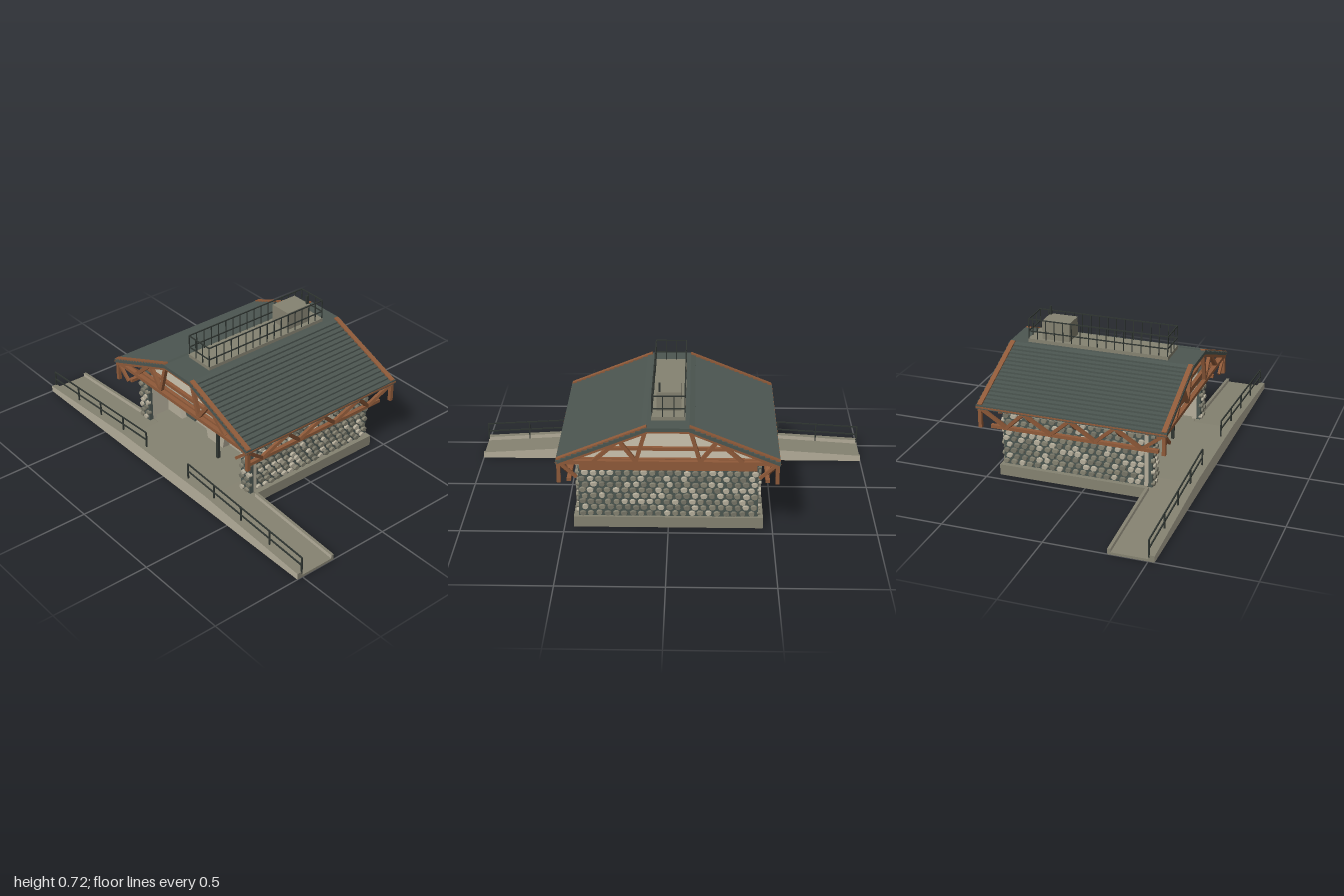
import * as THREE from 'three';
import { mergeGeometries } from 'three/addons/utils/BufferGeometryUtils.js';

const mat = (name, color, extra = {}) => {
  const m = new THREE.MeshStandardMaterial({ color, ...extra });
  m.name = name;
  return m;
};

export function createModel() {
  const root = new THREE.Group();
  const plaster = mat('pale plaster', 0xb5ae9b);
  const concrete = mat('grey concrete', 0x858271);
  const slate = mat('dark slate', 0x4c5651);
  const wood = mat('brown timber', 0x8f5a39);
  const iron = mat('dark iron', 0x2f3531);
  const stoneTints = [plaster, concrete, mat('grey stone', 0x757466)];

  const add = (name, geo, m, parent = root) => {
    const mesh = new THREE.Mesh(geo, m);
    mesh.name = name;
    parent.add(mesh);
    return mesh;
  };
  // Box given by its min and max limits
  const boxGeo = (x0, x1, y0, y1, z0, z1) =>
    new THREE.BoxGeometry(x1 - x0, y1 - y0, z1 - z0)
      .translate((x0 + x1) / 2, (y0 + y1) / 2, (z0 + z1) / 2);
  const box = (name, m, ...b) => add(name, boxGeo(...b), m);
  // Square bar between two points
  const bar = (a, b, w, d = w) => {
    const A = new THREE.Vector3(...a), B = new THREE.Vector3(...b);
    const o = new THREE.Object3D();
    o.position.copy(A).add(B).multiplyScalar(0.5);
    o.up.set(0, 1, 0.001);
    o.lookAt(B);
    o.updateMatrix();
    return new THREE.BoxGeometry(w, d, A.distanceTo(B)).applyMatrix4(o.matrix);
  };
  // Outline in x and y pushed along z
  const slab = (pts, z0, z1) =>
    new THREE.ExtrudeGeometry(new THREE.Shape(pts.map(p => new THREE.Vector2(...p))),
      { depth: z1 - z0, bevelEnabled: false }).translate(0, 0, z0);

  // Ramp with a raised kerb along both edges
  const ramp = lift => [[-1, 0], [1, 0], [1, 0.012 + lift], [0.33, 0.055 + lift],
    [-0.33, 0.055 + lift], [-1, 0.012 + lift]];
  add('rampDeck', slab(ramp(0), 0.31, 0.5), [plaster, concrete]);
  add('frontKerb', slab(ramp(0.02), 0.5, 0.53), [plaster, concrete]);
  for (const s of [-1, 1]) {
    const p = [[0.46, 0], [1, 0], [1, 0.03], [0.46, 0.066]].map(([x, y]) => [x * s, y]);
    add('backKerb', slab(p, 0.31, 0.325), [plaster, concrete]);
  }

  // Ramp railings
  const rails = [];
  const topY = x => 0.11 + (1 - x) * 0.06;
  for (const s of [-1, 1]) {
    for (const drop of [0, 0.043])
      rails.push(bar([s, topY(1) - drop, 0.503], [s * 0.17, topY(0.17) - drop, 0.503], 0.006));
    for (const x of [0.997, 0.775, 0.57, 0.37, 0.17])
      rails.push(bar([s * x, 0.02, 0.503], [s * x, topY(x), 0.503], 0.007));
  }
  add('rampRailing', mergeGeometries(rails), iron);

  // Plinth, walls and recessed porch
  box('plinth', concrete, -0.455, 0.455, 0, 0.055, -0.445, 0.31);
  box('mainWalls', slate, -0.43, 0.43, 0.055, 0.33, -0.43, 0.15);
  box('porchBackWall', plaster, -0.4, 0.4, 0.055, 0.33, 0.15, 0.158);
  box('ceiling', plaster, -0.43, 0.43, 0.322, 0.334, -0.43, 0.315);
  for (const s of [-1, 1]) {
    const side = (name, m, a, b, ...r) => box(name, m, Math.min(a * s, b * s), Math.max(a * s, b * s), ...r);
    side('porchSideWall', slate, 0.4, 0.43, 0.055, 0.325, 0.15, 0.295);
    side('porchLining', plaster, 0.392, 0.4, 0.055, 0.322, 0.158, 0.3);
    side('cornerJamb', plaster, 0.37, 0.432, 0.055, 0.33, 0.293, 0.315);
    side('cornerPier', slate, 0.37, 0.438, 0.055, 0.34, 0.315, 0.336);
    side('door', slate, 0.21, 0.32, 0.058, 0.28, 0.158, 0.166);
    side('wallLamp', iron, 0.098, 0.112, 0.22, 0.28, 0.158, 0.172);
    // Sloping buttress beside each door
    add('buttress', slab([[0.392, 0.055], [0.392, 0.25], [0.345, 0.25], [0.275, 0.055]]
      .map(([x, y]) => [x * s, y]), 0.17, 0.2), plaster);
  }
  add('centrePanel', slab([[-0.06, 0.055], [0.06, 0.055], [0.115, 0.3], [-0.115, 0.3]], 0.158, 0.2), plaster);
  box('porchPost', iron, 0.1, 0.115, 0.055, 0.21, 0.26, 0.275);

  // Rounded stones set in rows on the walls
  let seed = 7;
  const rnd = () => (seed = (seed * 16807) % 2147483647) / 2147483647;
  const stones = [[], [], []];
  const stone = (w, h) => {
    const g = new THREE.CylinderGeometry(0.8, 1, 1, 9);
    g.rotateX(Math.PI / 2).rotateZ(rnd() * 6);
    return g.scale(w * (0.9 + rnd() * 0.2), h * (0.9 + rnd() * 0.2), 0.018);
  };
  const stoneWall = (length, angle, x, z) => {
    const n = Math.max(2, Math.round(length / 0.041)), step = length / n;
    for (let r = 0; r < 9; r++)
      for (let i = 0; i < n; i++) {
        const u = -length / 2 + step * (i + 0.5 + (r % 2 ? 0.18 : -0.18)) + (rnd() - 0.5) * 0.005;
        const g = stone(step * 0.44, 0.0135).translate(u, 0.072 + r * 0.0305 + (rnd() - 0.5) * 0.005, 0);
        g.rotateY(angle).translate(x, 0, z);
        stones[Math.floor(rnd() * 3)].push(g);
      }
  };
  for (const s of [-1, 1]) {
    stoneWall(0.72, s * Math.PI / 2, s * 0.434, -0.068);
    stoneWall(0.072, 0, s * 0.404, 0.338);
  }
  stoneWall(0.85, Math.PI, 0, -0.434);
  stones.forEach((list, i) => add('wallStones', mergeGeometries(list), stoneTints[i]));

  // Roof with stepped courses and a flat ridge
  const outer = [], N = 17;
  for (let i = 0; i < N; i++) {
    const x = 0.525 - 0.425 * i / N, y = 0.385 + 0.172 * i / N;
    outer.push([x, y], [x, y + 0.009]);
  }
  outer.push([0.1, 0.562]);
  const mirror = pts => pts.map(([x, y]) => [-x, y]).reverse();
  const inner = [[0.096, 0.545], [0.525, 0.373]];
  add('roof', slab([...outer, ...mirror(outer), ...mirror(inner), ...inner], -0.53, 0.43), slate);

  // Timber trusses, edge boards and eave brackets
  const timber = [];
  for (const z of [0.415, -0.512]) {
    timber.push(bar([-0.52, 0.38, z], [0.52, 0.38, z], 0.022, 0.018));
    timber.push(bar([-0.1, 0.54, z], [0.1, 0.54, z], 0.02, 0.014));
    for (const s of [-1, 1]) {
      const b = (x0, y0, x1, y1, w = 0.018, d = w) =>
        timber.push(bar([x0 * s, y0, z], [x1 * s, y1, z], w, d));
      b(0.515, 0.37, 0.1, 0.54, 0.022, 0.018);
      b(0.522, 0.394, 0.1, 0.565, 0.024, 0.008);
      b(0.35, 0.385, 0.23, 0.492);
      b(0.23, 0.492, 0.15, 0.385);
      b(0.15, 0.385, 0.105, 0.54);
      b(0.513, 0.275, 0.513, 0.38, 0.018);
    }
  }
  const tops = [0.414, 0.173, -0.054, -0.287, -0.508];
  const feet = [0.292, 0.06, -0.167, -0.395];
  for (const s of [-1, 1]) {
    timber.push(bar([s * 0.47, 0.268, -0.475], [s * 0.47, 0.268, 0.375], 0.02, 0.017));
    timber.push(bar([s * 0.522, 0.382, -0.53], [s * 0.522, 0.382, 0.43], 0.01, 0.008));
    feet.forEach((f, i) => {
      for (const t of [tops[i], tops[i + 1]])
        timber.push(bar([s * 0.47, 0.268, f], [s * 0.515, 0.375, t], 0.017));
    });
    for (const z of tops) timber.push(bar([s * 0.43, 0.3, z], [s * 0.513, 0.375, z], 0.014));
  }
  for (const z of [0.31, 0.175, -0.05, -0.28, -0.405])
    timber.push(bar([-0.45, 0.341, z], [0.45, 0.341, z], 0.018));
  timber.push(bar([-0.42, 0.328, 0.345], [0.42, 0.328, 0.345], 0.018, 0.03));
  timber.push(bar([-0.42, 0.328, -0.452], [0.42, 0.328, -0.452], 0.018, 0.03));
  add('timberFrame', mergeGeometries(timber), wood);

  // Roof walkway with railing, cabin and pipe
  box('walkway', concrete, -0.08, 0.08, 0.558, 0.58, -0.438, 0.293);
  box('roofCabin', concrete, -0.06, 0.056, 0.58, 0.675, -0.37, -0.225);
  box('pipe', iron, 0.037, 0.047, 0.67, 0.72, -0.368, -0.358);
  const guard = [];
  const z0 = -0.435, z1 = 0.29;
  for (const x of [-0.077, 0.077]) {
    for (const y of [0.62, 0.683]) guard.push(bar([x, y, z0], [x, y, z1], 0.005));
    for (let i = 0; i <= 16; i++) {
      const z = z0 + (z1 - z0) * i / 16;
      guard.push(bar([x, 0.575, z], [x, 0.683, z], 0.004));
    }
  }
  for (const z of [z0, z1]) {
    for (const y of [0.62, 0.683]) guard.push(bar([-0.077, y, z], [0.077, y, z], 0.005));
    for (const x of [-0.026, 0.026]) guard.push(bar([x, 0.575, z], [x, 0.683, z], 0.004));
  }
  add('walkwayRailing', mergeGeometries(guard), iron);

  return root;
}
